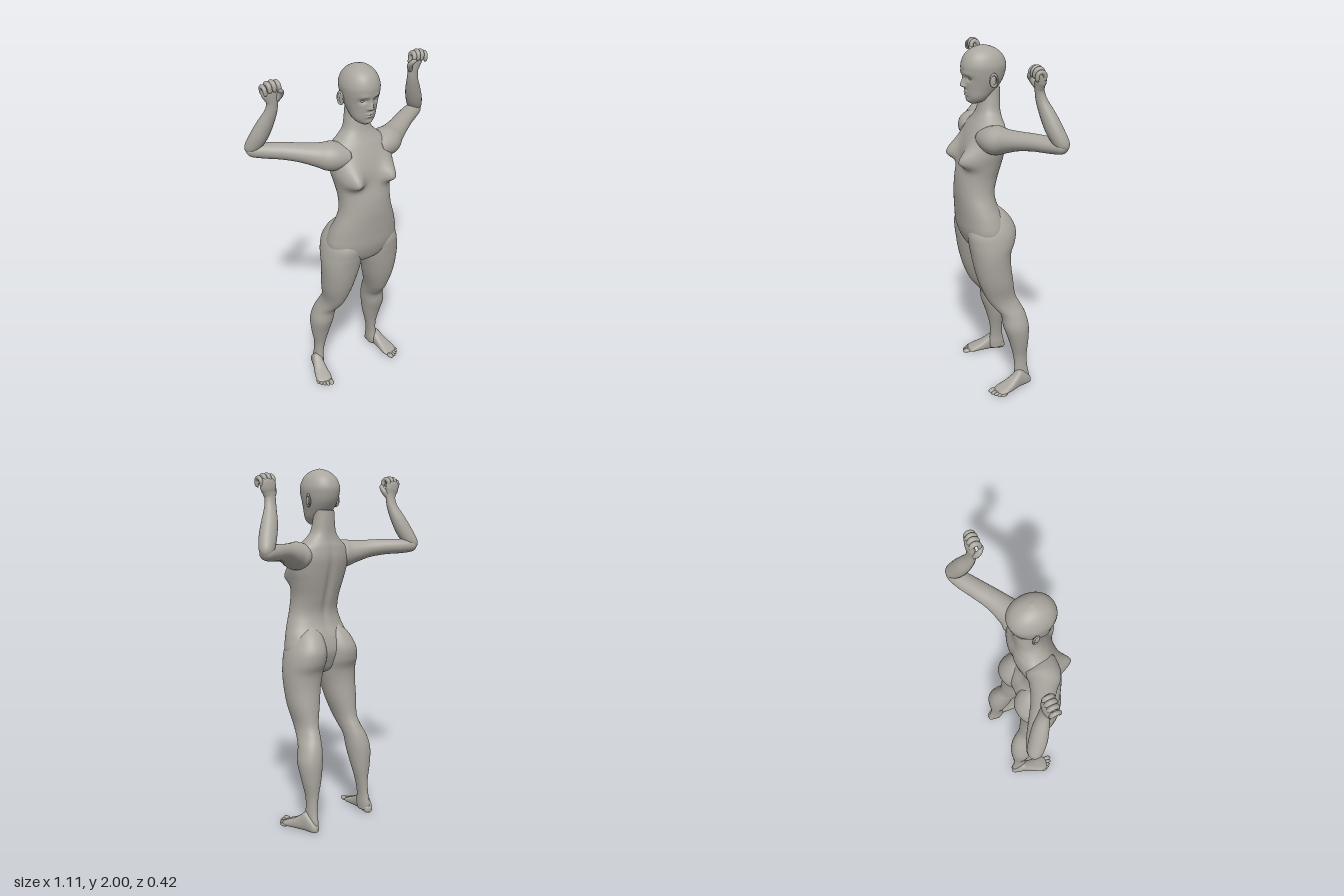
import * as THREE from 'three';

const skin = new THREE.MeshStandardMaterial({ color: 0xaaa69f });
skin.name = 'clay grey';

// Catmull-Rom interpolation of rows of numbers
function spline(rows, steps) {
  const out = [], at = i => rows[Math.max(0, Math.min(rows.length - 1, i))];
  for (let i = 0; i < rows.length - 1; i++) {
    for (let s = 0; s < steps; s++) {
      const t = s / steps;
      out.push(rows[i].map((b, k) => {
        const a = at(i - 1)[k], c = at(i + 1)[k], d = at(i + 2)[k];
        return b + 0.5 * t * (c - a + t * (2 * a - 5 * b + 4 * c - d + t * (3 * (b - c) + d - a)));
      }));
    }
  }
  out.push(rows[rows.length - 1]);
  return out;
}

// Closed smooth surface over a list of rings
function skinRings(rings) {
  const n = rings[0].length, pos = [], idx = [];
  rings.forEach(r => r.forEach(p => pos.push(p.x, p.y, p.z)));
  const v = (i, j) => i * n + (j % n), last = rings.length - 1;
  for (let i = 0; i < last; i++) {
    for (let j = 0; j < n; j++) {
      idx.push(v(i, j), v(i + 1, j), v(i, j + 1), v(i, j + 1), v(i + 1, j), v(i + 1, j + 1));
    }
  }
  [0, last].forEach((i, end) => {
    const c = new THREE.Vector3();
    rings[i].forEach(p => c.addScaledVector(p, 1 / n));
    const k = pos.length / 3;
    pos.push(c.x, c.y, c.z);
    for (let j = 0; j < n; j++) idx.push(k, v(i, j + end), v(i, j + 1 - end));
  });
  const g = new THREE.BufferGeometry();
  g.setAttribute('position', new THREE.Float32BufferAttribute(pos, 3));
  g.setIndex(idx);
  g.computeVertexNormals();
  return g;
}

// Upright loft; each row is [y, xMin, xMax, zMin, zMax]
function loft(rows, { seg = 40, steps = 6, power = 2.2, shape } = {}) {
  return skinRings(spline(rows, steps).map(([y, x0, x1, z0, z1]) =>
    Array.from({ length: seg }, (_, j) => {
      const a = j / seg * Math.PI * 2, c = Math.cos(a), s = Math.sin(a);
      const f = w => Math.sign(w) * Math.abs(w) ** (2 / power);
      const p = new THREE.Vector3((x0 + x1) / 2 + f(c) * (x1 - x0) / 2, y, (z0 + z1) / 2 + f(s) * (z1 - z0) / 2);
      if (shape) shape(p);
      return p;
    })));
}

// Loft along a path; each row is [x, y, z, radius along ref, other radius]
function limb(rows, ref, seg = 28, steps = 6) {
  const pts = spline(rows, steps);
  const at = i => new THREE.Vector3(...pts[Math.max(0, Math.min(pts.length - 1, i))].slice(0, 3));
  return skinRings(pts.map((r, i) => {
    const t = at(i + 1).sub(at(i - 1)).normalize();
    const u = ref.clone().addScaledVector(t, -ref.dot(t)).normalize();
    const v = u.clone().cross(t);
    return Array.from({ length: seg }, (_, j) => {
      const a = j / seg * Math.PI * 2;
      return at(i).addScaledVector(u, Math.cos(a) * r[3]).addScaledVector(v, Math.sin(a) * r[4]);
    });
  }));
}

// Soft bump with different falloff below and above its centre
function bump(x, y, cx, cy, sx, down, up, height) {
  const dx = (x - cx) / sx, dy = (y - cy) / (y < cy ? down : up);
  return height * Math.exp(-dx * dx - dy * dy);
}

function ellipsoid(x, y, z, rx, ry, rz) {
  return new THREE.SphereGeometry(1, 24, 16).scale(rx, ry, rz).translate(x, y, z);
}

function mirrored(geo) {
  const g = geo.clone().scale(-1, 1, 1), ix = g.index.array;
  for (let i = 0; i < ix.length; i += 3) [ix[i], ix[i + 1]] = [ix[i + 1], ix[i]];
  g.computeVertexNormals();
  return g;
}

export function createModel() {
  const model = new THREE.Group();
  model.name = 'figure';
  const add = (name, geo) => {
    const m = new THREE.Mesh(geo, skin);
    m.name = name;
    model.add(m);
  };
  const addPair = (name, geo) => {
    add('left' + name, geo);
    add('right' + name, mirrored(geo));
  };
  const sym = rows => rows.map(([y, r, z0, z1]) => [y, -r, r, z0, z1]);
  const X = new THREE.Vector3(1, 0, 0), Y = new THREE.Vector3(0, 1, 0);

  // Torso and neck, with chest relief and spine groove
  add('torso', loft(sym([
    [0.87, 0.03, 0, 0.08], [0.89, 0.09, -0.03, 0.125], [0.93, 0.17, -0.05, 0.155],
    [1.0, 0.212, -0.07, 0.178], [1.08, 0.2, -0.055, 0.186], [1.15, 0.176, -0.022, 0.191],
    [1.22, 0.153, -0.012, 0.194], [1.3, 0.148, -0.03, 0.188], [1.38, 0.162, -0.05, 0.17],
    [1.45, 0.178, -0.065, 0.16], [1.52, 0.18, -0.075, 0.138], [1.58, 0.155, -0.07, 0.11],
    [1.62, 0.11, -0.06, 0.086], [1.66, 0.076, -0.055, 0.068], [1.72, 0.062, -0.055, 0.055],
    [1.78, 0.055, -0.055, 0.05],
  ]), {
    seg: 96, shape: p => {
      const front = THREE.MathUtils.smoothstep(p.z, 0.03, 0.11), x = Math.abs(p.x);
      if (p.z < 0) p.z += bump(p.x, p.y, 0, 1.35, 0.022, 0.2, 0.2, 0.014);
      p.z += front * bump(x, p.y, 0.112, 1.41, 0.05, 0.036, 0.075, 0.068);
    },
  }));

  // Head with brow, eye sockets, nose, lips and chin
  add('head', loft(sym([
    [1.7, 0.018, 0.07, 0.105], [1.715, 0.044, 0.025, 0.12], [1.74, 0.062, 0, 0.129],
    [1.78, 0.075, -0.04, 0.135], [1.82, 0.087, -0.068, 0.14], [1.86, 0.095, -0.083, 0.15],
    [1.9, 0.098, -0.088, 0.153], [1.94, 0.087, -0.074, 0.14], [1.97, 0.066, -0.046, 0.115],
    [1.99, 0.037, -0.008, 0.077], [2.0, 0.002, 0.032, 0.036],
  ]), {
    seg: 144, steps: 10, power: 2.1, shape: p => {
      if (p.z < 0.08) return;
      const x = Math.abs(p.x), y = p.y;
      p.z += bump(x, y, 0, 1.797, 0.012, 0.009, 0.034, 0.026)
        + bump(x, y, 0.013, 1.795, 0.007, 0.007, 0.009, 0.008)
        + bump(x, y, 0.036, 1.838, 0.02, 0.014, 0.012, -0.014)
        + bump(x, y, 0.035, 1.862, 0.026, 0.01, 0.012, 0.004)
        + bump(x, y, 0, 1.764, 0.022, 0.005, 0.007, 0.008)
        + bump(x, y, 0, 1.75, 0.02, 0.006, 0.005, 0.009)
        + bump(x, y, 0, 1.717, 0.025, 0.012, 0.012, 0.007);
    },
  }));
  addPair('Eye', ellipsoid(0.035, 1.837, 0.114, 0.016, 0.01, 0.012));

  // Ears: flat bowl with a raised rim
  addPair('Ear', ellipsoid(0.094, 1.826, 0.016, 0.009, 0.031, 0.018).rotateZ(0));
  addPair('EarRim', new THREE.TorusGeometry(0.02, 0.005, 10, 28)
    .scale(0.9, 1.5, 1).rotateY(Math.PI / 2 - 0.3).translate(0.1, 1.832, 0.012));

  // Legs; their rounded tops form the seat
  addPair('Leg', loft([
    [0.02, 0.176, 0.226, -0.178, -0.085], [0.06, 0.173, 0.228, -0.178, -0.08],
    [0.12, 0.172, 0.224, -0.166, -0.086], [0.2, 0.158, 0.224, -0.163, -0.08],
    [0.3, 0.133, 0.243, -0.17, -0.055], [0.4, 0.116, 0.253, -0.171, -0.022],
    [0.48, 0.108, 0.234, -0.155, -0.008], [0.54, 0.099, 0.213, -0.128, 0.036],
    [0.6, 0.085, 0.208, -0.1, 0.075], [0.7, 0.054, 0.226, -0.085, 0.115],
    [0.8, 0.03, 0.234, -0.073, 0.14], [0.88, 0.01, 0.237, -0.076, 0.153],
    [0.94, 0.004, 0.232, -0.1, 0.162], [1.0, 0.006, 0.219, -0.108, 0.165],
    [1.05, 0.014, 0.196, -0.092, 0.14], [1.1, 0.03, 0.16, -0.057, 0.08],
    [1.14, 0.07, 0.11, -0.01, 0.04],
  ], { seg: 48, power: 2.1 }));

  // Feet run forward from the heel and turn outwards
  const placeFoot = g => g.rotateY(0.22).translate(0.202, 0, -0.185);
  addPair('Foot', placeFoot(loft([
    [0, -0.012, 0.012, -0.035, -0.01], [0.012, -0.024, 0.024, -0.052, -0.002],
    [0.04, -0.03, 0.03, -0.085, 0], [0.08, -0.03, 0.032, -0.112, 0],
    [0.115, -0.034, 0.037, -0.088, 0], [0.16, -0.042, 0.044, -0.058, 0],
    [0.205, -0.049, 0.047, -0.037, 0], [0.23, -0.044, 0.036, -0.025, -0.002],
    [0.24, -0.03, 0.018, -0.018, -0.005],
  ], { seg: 32, power: 2.5 }).rotateX(Math.PI / 2)));
  [[-0.034, 0.252, 0.014], [-0.011, 0.25, 0.0105], [0.009, 0.242, 0.01],
    [0.026, 0.23, 0.0095], [0.041, 0.216, 0.009]].forEach(([x, z, r], i) =>
    addPair('Toe' + (i + 1), placeFoot(ellipsoid(x, r * 0.95, z, r, r * 0.95, 0.024))));

  // Upper arms, reaching out and back
  addPair('UpperArm', limb([
    [0.09, 1.53, 0.04, 0.06, 0.08], [0.17, 1.536, 0.028, 0.077, 0.086],
    [0.23, 1.546, -0.001, 0.063, 0.069], [0.3, 1.56, -0.04, 0.05, 0.057],
    [0.38, 1.57, -0.093, 0.044, 0.051], [0.46, 1.573, -0.145, 0.041, 0.047],
    [0.52, 1.577, -0.178, 0.035, 0.038], [0.542, 1.58, -0.19, 0.014, 0.018],
  ], Y, 40));

  // Forearms rising into the palms
  addPair('Forearm', limb([
    [0.528, 1.558, -0.184, 0.014, 0.014], [0.52, 1.587, -0.178, 0.037, 0.036],
    [0.49, 1.65, -0.15, 0.046, 0.043], [0.46, 1.72, -0.125, 0.043, 0.039],
    [0.435, 1.79, -0.1, 0.033, 0.028], [0.428, 1.84, -0.09, 0.031, 0.022],
    [0.432, 1.87, -0.088, 0.038, 0.021], [0.438, 1.895, -0.089, 0.046, 0.022],
    [0.443, 1.925, -0.089, 0.045, 0.018], [0.444, 1.938, -0.087, 0.03, 0.009],
  ], X, 36));

  // Curled fingers and thumb
  for (let i = 0; i < 4; i++) {
    const x = 0.407 + 0.025 * i, d = [0, 0.004, 0.001, -0.009][i], r = [0.0125, 0.013, 0.0125, 0.011][i];
    addPair('Finger' + (i + 1), limb([
      [x, 1.9, -0.091, r * 0.6, r * 0.6], [x + 0.001, 1.935 + d, -0.09, r, r],
      [x + 0.002, 1.95 + d, -0.073, r, r], [x, 1.94 + d, -0.054, r, r],
      [x - 0.003, 1.915 + d, -0.051, r * 0.9, r * 0.9], [x - 0.004, 1.904 + d, -0.058, r * 0.2, r * 0.2],
    ], X, 14, 5));
  }
  addPair('Thumb', limb([
    [0.41, 1.85, -0.087, 0.014, 0.014], [0.394, 1.878, -0.074, 0.016, 0.016],
    [0.391, 1.9, -0.056, 0.013, 0.013], [0.404, 1.915, -0.044, 0.011, 0.011],
    [0.413, 1.92, -0.04, 0.003, 0.003],
  ], X, 14, 5));

  return model;
}
